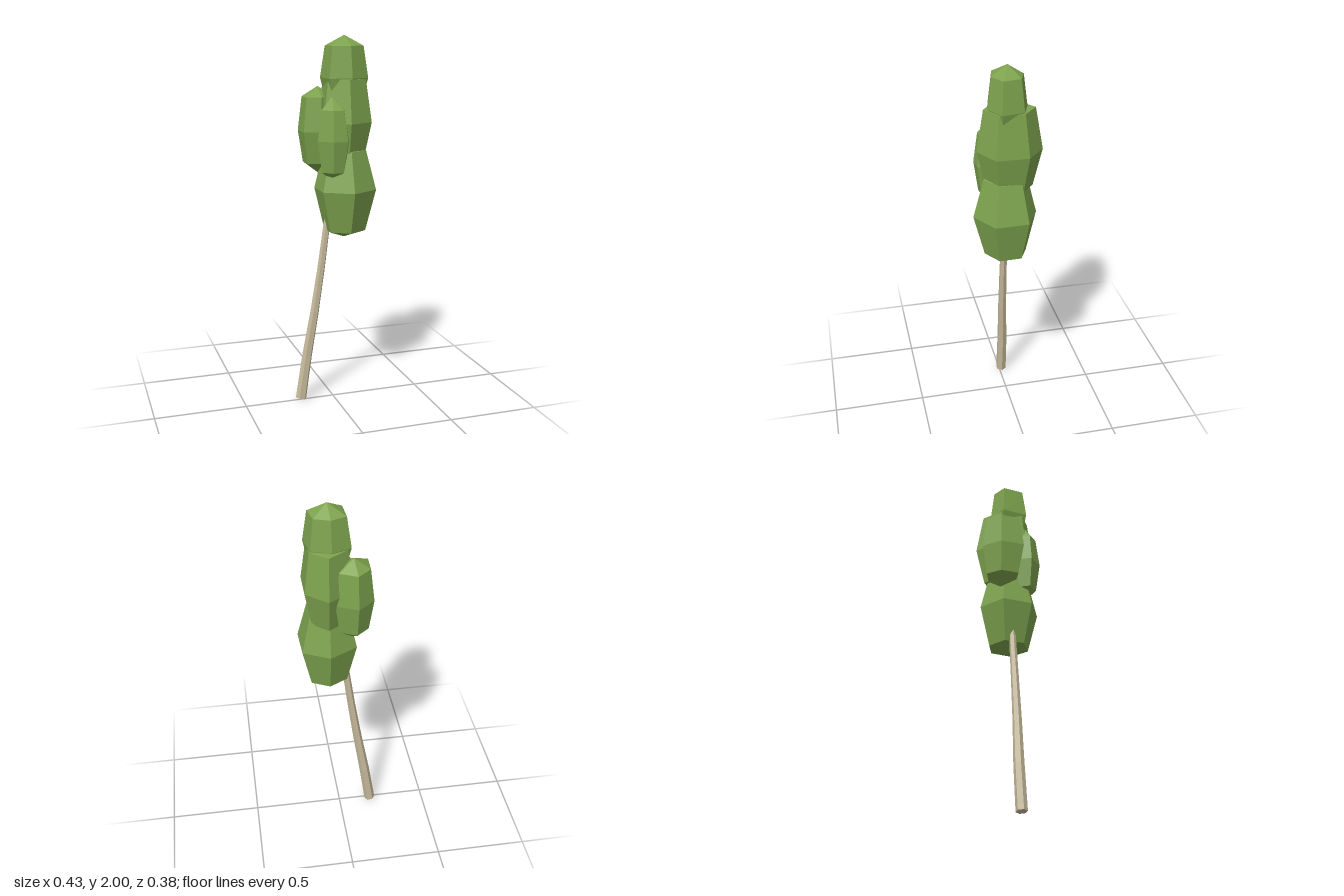
import * as THREE from 'three';

// Closed faceted loft through rings of [x, y, z] corners, ordered from +x towards +z.
// The first and last rings may be a single point.
function loft(rings, sides) {
  const pos = [];
  const tri = (a, b, c) => pos.push(...a, ...b, ...c);
  for (let r = 0; r < rings.length - 1; r++) {
    const low = rings[r], high = rings[r + 1];
    for (let i = 0; i < sides; i++) {
      const j = (i + 1) % sides;
      if (low.length > 1) tri(low[i], high[i % high.length], low[j]);
      if (high.length > 1) tri(low[j % low.length], high[i], high[j]);
    }
  }
  const geometry = new THREE.BufferGeometry();
  geometry.setAttribute('position', new THREE.Float32BufferAttribute(pos, 3));
  geometry.computeVertexNormals();
  return geometry;
}

// Leaf clump: a six-cornered plan scaled about its centre at each level [y, scale].
function clump(cx, cz, plan, levels) {
  const rings = levels.map(([y, s]) => s === 0
    ? [[cx, y, cz]]
    : plan.map(([x, z]) => [cx + (x - cx) * s, y, cz + (z - cz) * s]));
  return loft(rings, 6);
}

export function createModel() {
  const leaf = new THREE.MeshStandardMaterial({ color: 0x7da34e, flatShading: true });
  leaf.name = 'leaf green';
  const bark = new THREE.MeshStandardMaterial({ color: 0xc8bb9c, flatShading: true });
  bark.name = 'pale bark';

  const tree = new THREE.Group();
  tree.name = 'tree';
  const add = (name, geometry, material) => {
    const mesh = new THREE.Mesh(geometry, material);
    mesh.name = name;
    tree.add(mesh);
  };

  // Leaning trunk with a slight bend: [x, y, z, radius]
  const stations = [
    [-0.184, 0.005, -0.012, 0.03], [-0.148, 0.25, -0.011, 0.028],
    [-0.106, 0.5, -0.003, 0.024], [-0.068, 0.75, 0, 0.021], [-0.026, 1.06, 0, 0.018],
  ];
  const trunkRings = stations.map(([x, y, z, r]) => Array.from({ length: 6 }, (_, i) => {
    const a = (i / 6) * Math.PI * 2;
    return [x + r * Math.cos(a), y - 0.17 * r * Math.cos(a), z + r * Math.sin(a)];
  }));
  add('trunk', loft([[[-0.184, 0.005, -0.012]], ...trunkRings, [[-0.026, 1.06, 0]]], 6), bark);

  // Stacked crown clumps
  add('lowerCrown', clump(0.06, 0.01,
    [[0.212, 0.097], [0.062, 0.187], [-0.083, 0.095], [-0.083, -0.07], [0.065, -0.15], [0.206, -0.08]],
    [[0.925, 0], [0.965, 0.67], [1.19, 1], [1.4, 0.68], [1.46, 0]]), leaf);
  add('middleCrown', clump(0.06, 0,
    [[0.187, 0.088], [0.05, 0.162], [-0.072, 0.07], [-0.06, -0.085], [0.075, -0.177], [0.187, -0.083]],
    [[1.29, 0], [1.35, 0.72], [1.55, 1], [1.775, 0.78], [1.785, 0]]), leaf);
  add('upperCrown', clump(0.06, 0.005,
    [[0.177, 0.055], [0.072, 0.11], [-0.045, 0.083], [-0.052, -0.06], [0.05, -0.1], [0.153, -0.063]],
    [[1.6, 0], [1.63, 0.7], [1.78, 1], [1.945, 0.8], [2, 0]]), leaf);

  // Side clumps
  add('backSideClump', clump(-0.06, -0.08,
    [[0.035, -0.03], [-0.07, 0.04], [-0.165, 0.018], [-0.161, -0.113], [-0.072, -0.189], [0.04, -0.135]],
    [[1.27, 0], [1.33, 0.76], [1.5, 1], [1.68, 0.8], [1.735, 0]]), leaf);
  add('frontSideClump', clump(-0.03, 0.08,
    [[0.07, 0.085], [0.035, 0.155], [-0.045, 0.162], [-0.11, 0.087], [-0.06, 0.01], [0.03, 0.005]],
    [[1.25, 0], [1.295, 0.72], [1.46, 1], [1.62, 0.73], [1.69, 0]]), leaf);

  return tree;
}
